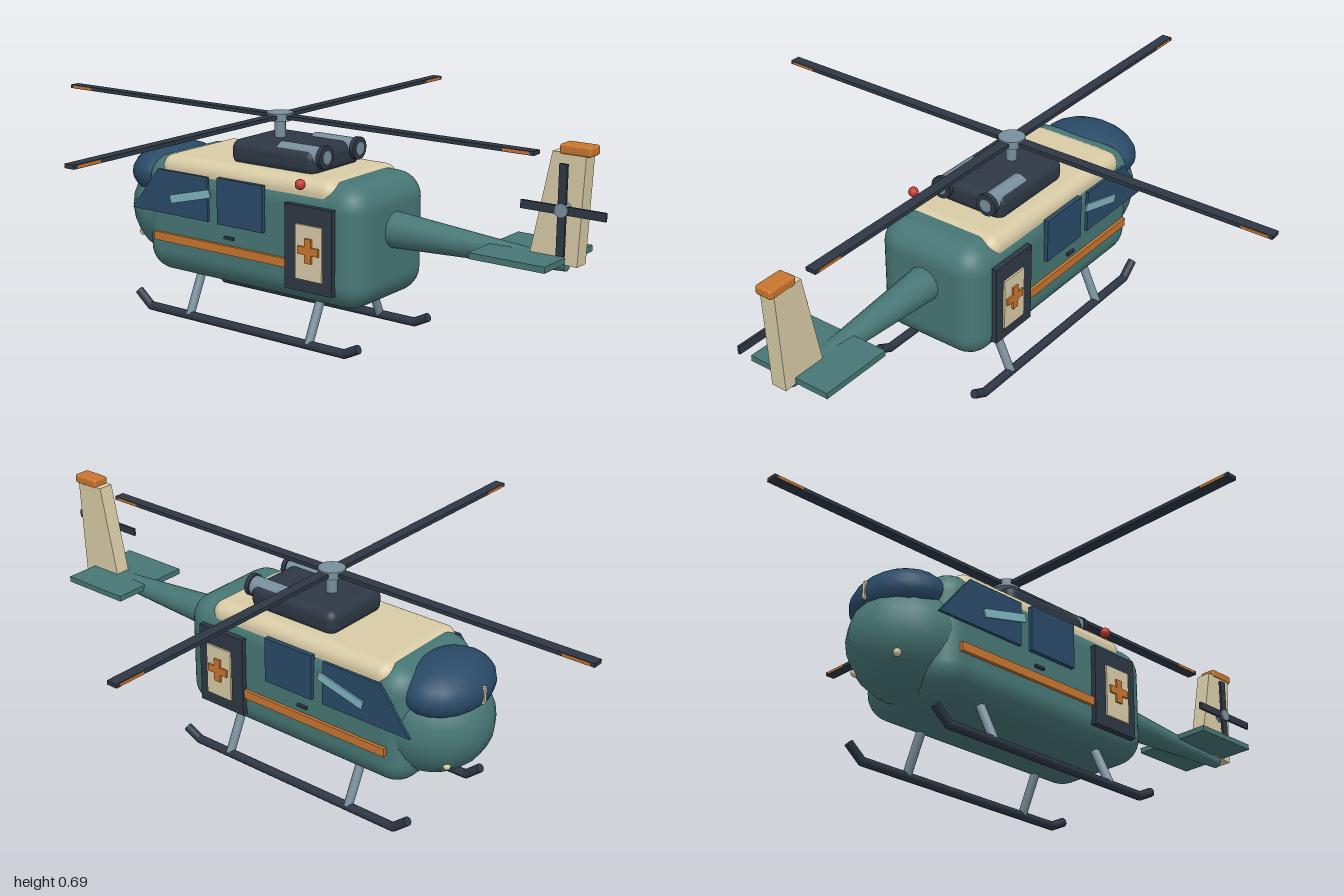
import * as THREE from 'three';
import { RoundedBoxGeometry } from 'three/addons/geometries/RoundedBoxGeometry.js';

const paint = (name, color) => {
  const m = new THREE.MeshStandardMaterial({ color });
  m.name = name;
  return m;
};

export function createModel() {
  const teal = paint('teal body', 0x477775);
  const cream = paint('cream trim', 0xd8cba6);
  const orange = paint('orange marking', 0xc8752e);
  const dark = paint('dark metal', 0x2d3744);
  const glass = paint('blue glass', 0x294a68);
  const steel = paint('grey steel', 0x788f9c);
  const shine = paint('pale glint', 0x80b6c2);
  const red = paint('red lamp', 0xc23a30);

  const root = new THREE.Group();
  root.name = 'helicopter';

  const add = (name, geo, mat, x = 0, y = 0, z = 0, parent = root) => {
    const m = new THREE.Mesh(geo, mat);
    m.name = name;
    m.position.set(x, y, z);
    parent.add(m);
    return m;
  };
  // Boxes given by their extents along each axis
  const box = (name, mat, [x0, x1], [y0, y1], [z0, z1], r = 0, parent = root) => {
    const s = [x1 - x0, y1 - y0, z1 - z0];
    const g = r ? new RoundedBoxGeometry(...s, 4, r) : new THREE.BoxGeometry(...s);
    return add(name, g, mat, (x0 + x1) / 2, (y0 + y1) / 2, (z0 + z1) / 2, parent);
  };
  // Round bar between two points
  const rod = (name, mat, a, b, ra, rb = ra, sides = 16, parent = root) => {
    const p = new THREE.Vector3(...a), q = new THREE.Vector3(...b);
    const d = q.clone().sub(p);
    const m = add(name, new THREE.CylinderGeometry(rb, ra, d.length(), sides), mat, 0, 0, 0, parent);
    m.position.copy(p).add(q).multiplyScalar(0.5);
    m.quaternion.setFromUnitVectors(new THREE.Vector3(0, 1, 0), d.normalize());
    return m;
  };
  const ellipsoid = (name, mat, x, y, z, rx, ry, rz) =>
    add(name, new THREE.SphereGeometry(1, 20, 14), mat, x, y, z).scale.set(rx, ry, rz);
  // Flat plate with its outline in x and y, centred on z
  const plate = (name, mat, pts, depth, z, parent = root) => {
    const g = new THREE.ExtrudeGeometry(new THREE.Shape(pts.map(p => new THREE.Vector2(...p))),
      { depth, bevelEnabled: false });
    g.translate(0, 0, -depth / 2);
    return add(name, g, mat, 0, 0, z, parent);
  };

  // Cabin, nose and roof
  box('cabin', teal, [-0.53, 0.31], [0.135, 0.51], [-0.187, 0.187], 0.08);
  ellipsoid('nose', teal, -0.48, 0.315, 0, 0.2, 0.172, 0.178);
  ellipsoid('windscreen', glass, -0.54, 0.432, 0, 0.125, 0.088, 0.165);
  box('windscreenDivider', cream, [-0.667, -0.655], [0.405, 0.46], [-0.005, 0.005]);
  box('roof', cream, [-0.46, 0.21], [0.43, 0.517], [-0.178, 0.178], 0.04);

  // Details on both flanks
  for (const s of [1, -1]) {
    const side = new THREE.Group();
    side.name = s > 0 ? 'leftSide' : 'rightSide';
    root.add(side);
    const span = (a, b) => (s > 0 ? [a, b] : [-b, -a]);

    plate('cockpitWindow', glass, [[-0.555, 0.337], [-0.245, 0.337], [-0.245, 0.475], [-0.445, 0.475]], 0.009, s * 0.193, side);
    box('cabinWindow', glass, [-0.205, -0.03], [0.337, 0.48], span(0.185, 0.2), 0, side);
    const glint = add('windowGlint', new THREE.BoxGeometry(0.165, 0.026, 0.005), shine, -0.312, 0.407, s * 0.2, side);
    glint.rotation.z = 0.25;
    box('stripe', orange, [-0.467, 0.1], [0.246, 0.273], span(0.184, 0.197), 0, side);
    box('doorHandle', dark, [-0.183, -0.148], [0.293, 0.301], span(0.184, 0.196), 0, side);
    box('doorPanel', dark, [0.056, 0.227], [0.187, 0.444], span(0.183, 0.203), 0, side);
    box('medicalPanel', cream, [0.1, 0.195], [0.225, 0.39], span(0.202, 0.209), 0, side);
    box('crossUpright', orange, [0.137, 0.161], [0.278, 0.352], span(0.208, 0.215), 0, side);
    box('crossBar', orange, [0.112, 0.186], [0.303, 0.327], span(0.208, 0.2145), 0, side);
    add('noseLamp', new THREE.SphereGeometry(0.012, 10, 8), cream, -0.612, 0.225, s * 0.092, side);

    // Exhaust pipe
    rod('exhaust', steel, [-0.045, 0.565, s * 0.083], [0.108, 0.565, s * 0.083], 0.03, 0.03, 16, side);
    rod('exhaustRim', dark, [0.105, 0.565, s * 0.083], [0.12, 0.565, s * 0.083], 0.035, 0.035, 16, side);
    rod('exhaustOutlet', steel, [0.118, 0.565, s * 0.083], [0.122, 0.565, s * 0.083], 0.02, 0.02, 16, side);

    // Landing skid with raised ends
    const z = s * 0.184;
    const path = [[-0.55, 0.06, z], [-0.5, 0.018, z], [0.26, 0.018, z], [0.31, 0.043, z]];
    for (let i = 0; i < 3; i++) rod('skid', dark, path[i], path[i + 1], 0.014, 0.014, 12, side);
    for (const p of [path[1], path[2]]) add('skidBend', new THREE.SphereGeometry(0.014, 12, 8), dark, ...p, side);
    for (const x of [-0.335, 0.13]) rod('strut', steel, [x, 0.16, s * 0.118], [x, 0.02, z], 0.014, 0.014, 12, side);
  }

  // Engine housing and warning lamp
  box('engineHousing', dark, [-0.22, 0.1], [0.505, 0.585], [-0.122, 0.122], 0.03);
  add('beacon', new THREE.SphereGeometry(0.016, 14, 10), red, 0.11, 0.505, 0.197);

  // Main rotor
  rod('mast', steel, [-0.118, 0.57, 0], [-0.118, 0.65, 0], 0.017);
  rod('rotorHub', steel, [-0.118, 0.638, 0], [-0.118, 0.661, 0], 0.041, 0.041, 20);
  const rotor = new THREE.Group();
  rotor.name = 'mainRotor';
  rotor.position.set(-0.118, 0.65, 0);
  root.add(rotor);
  for (let i = 0; i < 4; i++) {
    const blade = new THREE.Group();
    blade.name = 'rotorBlade';
    blade.rotation.y = i * Math.PI / 2;
    rotor.add(blade);
    box('blade', dark, [0.02, 0.882], [-0.006, 0.006], [-0.017, 0.017], 0, blade);
    box('bladeMark', orange, [0.785, 0.87], [-0.004, 0.004], [-0.0185, 0.0185], 0, blade);
  }

  // Tail boom, stabiliser and fin
  rod('tailBoom', teal, [0.27, 0.362, 0], [0.87, 0.354, 0], 0.057, 0.019, 20);
  box('stabiliser', teal, [0.64, 0.875], [0.362, 0.38], [-0.137, 0.137]);
  plate('fin', cream, [[0.765, 0.365], [0.912, 0.358], [0.925, 0.668], [0.825, 0.668]], 0.05, 0);
  box('finCap', orange, [0.845, 0.94], [0.662, 0.691], [-0.028, 0.028], 0.008);

  // Tail rotor
  rod('tailRotorHub', steel, [0.87, 0.515, 0.01], [0.87, 0.515, 0.052], 0.02);
  box('tailBladeUpright', dark, [0.858, 0.882], [0.388, 0.642], [0.039, 0.047]);
  box('tailBladeLevel', dark, [0.745, 1.0], [0.503, 0.527], [0.0385, 0.0465]);

  return root;
}
